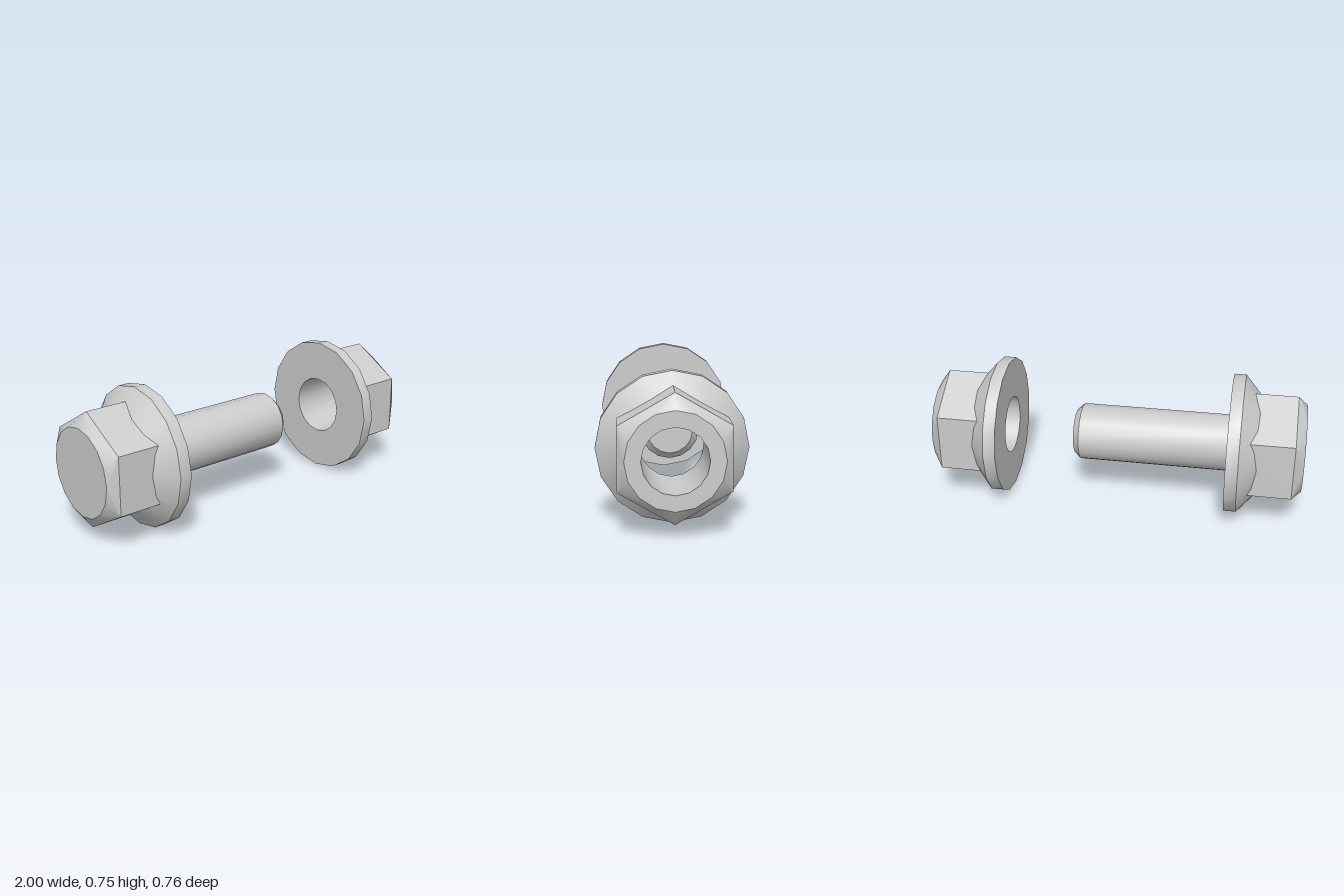
import * as THREE from 'three';
import { toCreasedNormals } from 'three/addons/utils/BufferGeometryUtils.js';

const SIDES = 16;
const HEX_R = 0.31;
const FACE_R = 0.235;
const material = new THREE.MeshStandardMaterial({ color: 0xcccccc });

function mesh(name, geometry) {
  const m = new THREE.Mesh(toCreasedNormals(geometry, 0.55), material);
  m.name = name;
  return m;
}

// Sixteen-sided turned surface around y from [radius, height] pairs
function turned(name, profile) {
  return mesh(name, new THREE.LatheGeometry(profile.map(([r, y]) => new THREE.Vector2(r, y)), SIDES));
}

// Chamfer joining the hexagon at y0 to the round end face at y1
function hexChamfer(y0, y1) {
  const point = (k, n, r, y) => {
    const a = Math.PI / 2 + (k % n) / n * Math.PI * 2;
    return [r * Math.sin(a), y, r * Math.cos(a)];
  };
  const hex = (i) => point(i, 6, HEX_R, y0);
  const round = (j) => point(j, SIDES, FACE_R, y1);
  const positions = [];
  let i = 0, j = 0;
  while (i < 6 || j < SIDES) {
    if ((i + 0.5) / 6 < (j + 0.5) / SIDES) {
      positions.push(...hex(i), ...hex(i + 1), ...round(j));
      i++;
    } else {
      positions.push(...round(j), ...hex(i), ...round(j + 1));
      j++;
    }
  }
  const g = new THREE.BufferGeometry();
  g.setAttribute('position', new THREE.Float32BufferAttribute(positions, 3));
  return g;
}

// Hexagon with a conical flange; flange underside on y = 0, optional bore
function flangedHex(name, length, bore) {
  const group = new THREE.Group();
  group.name = name;
  const chamferY = length - 0.052;
  const hexBase = 0.1;

  group.add(turned('flange', [[bore, 0], [0.375, 0], [0.375, 0.065], [0.235, 0.187]]));

  const sides = new THREE.CylinderGeometry(HEX_R, HEX_R, chamferY - hexBase, 6, 1, true, Math.PI / 2);
  sides.translate(0, (chamferY + hexBase) / 2, 0);
  group.add(mesh('hexSides', sides));
  group.add(mesh('hexChamfer', hexChamfer(chamferY, length)));

  group.add(turned('endFace', [[FACE_R, length], [bore, length]]));
  if (bore > 0) group.add(turned('bore', [[bore, length], [bore, 0]]));
  return group;
}

export function createModel() {
  const model = new THREE.Group();
  model.name = 'flangeBoltAndNut';

  // Bolt: head points to -x, shank to +x
  const bolt = flangedHex('bolt', 0.4, 0);
  bolt.add(turned('shank', [[0, -0.84], [0.12, -0.84], [0.154, -0.805], [0.154, 0]]));
  bolt.rotation.z = Math.PI / 2;
  bolt.position.set(-0.6, 0.375, -0.004);

  // Nut: flange faces the bolt
  const nut = flangedHex('nut', 0.39, 0.158);
  nut.rotation.z = -Math.PI / 2;
  nut.position.set(0.61, 0.375, 0.004);

  model.add(bolt, nut);
  return model;
}
